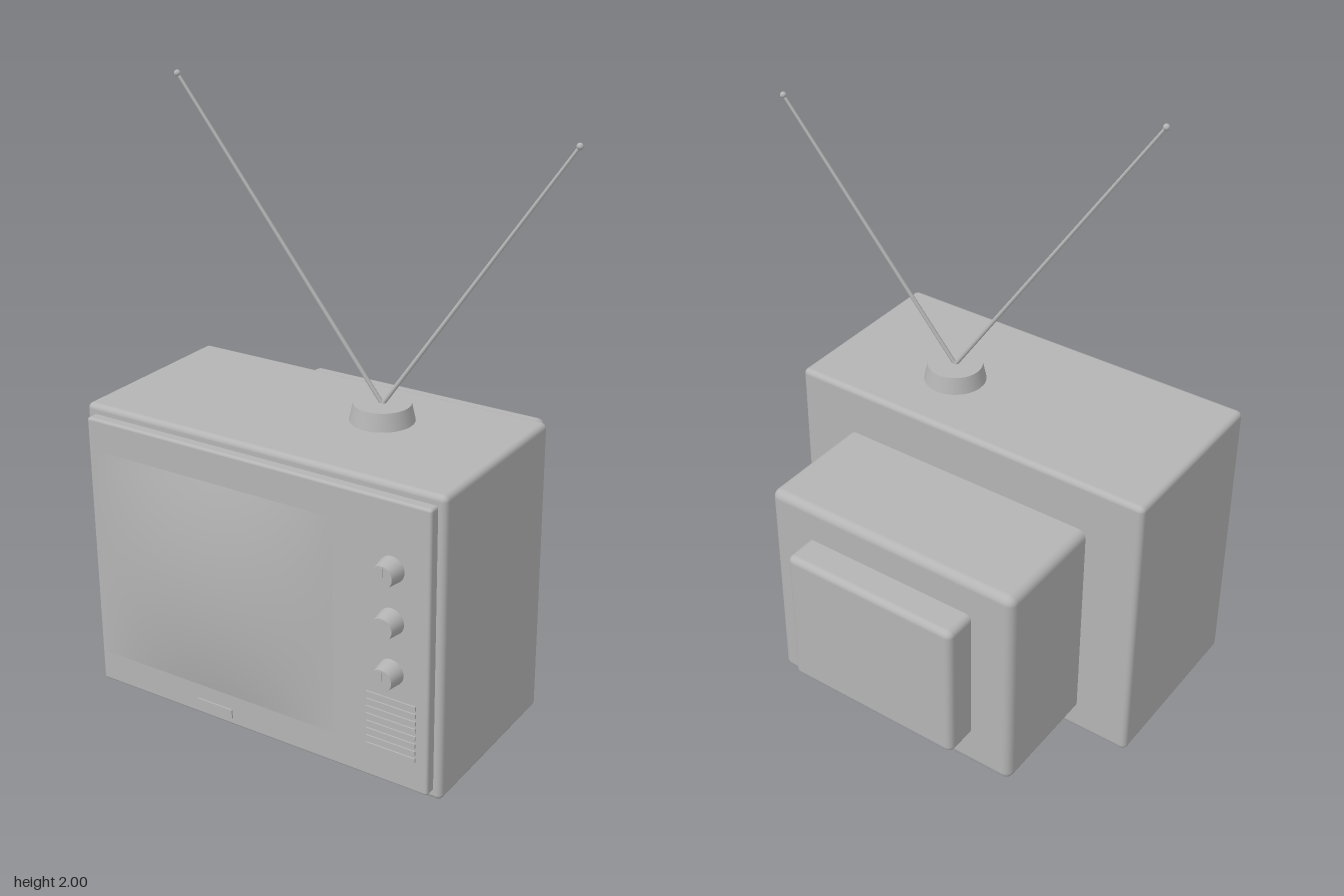
import * as THREE from 'three';
import { RoundedBoxGeometry } from 'three/addons/geometries/RoundedBoxGeometry.js';

export function createModel() {
  const group = new THREE.Group();
  const grey = new THREE.MeshStandardMaterial({ color: 0xb4b4b4 });
  grey.name = 'grey plastic';

  function add(name, geometry, x = 0, y = 0, z = 0) {
    const mesh = new THREE.Mesh(geometry, grey);
    mesh.name = name;
    mesh.position.set(x, y, z);
    group.add(mesh);
    return mesh;
  }

  // Box given by its limits on each axis; r = 0 keeps sharp edges
  function box(name, [x0, x1], [y0, y1], [z0, z1], r = 0) {
    const size = [x1 - x0, y1 - y0, z1 - z0];
    const geometry = r ? new RoundedBoxGeometry(...size, 3, r) : new THREE.BoxGeometry(...size);
    return add(name, geometry, (x0 + x1) / 2, (y0 + y1) / 2, (z0 + z1) / 2);
  }

  // Cabinet, front panel and stepped back housing
  box('cabinet', [-0.695, 0.571], [0.02, 1.0], [-0.105, 0.508], 0.018);
  box('frontPanel', [-0.667, 0.545], [0.05, 0.97], [0.49, 0.542], 0.009);
  box('backHousing', [-0.51, 0.386], [0.103, 0.835], [-0.492, -0.07], 0.028);
  box('backCap', [-0.368, 0.243], [0.228, 0.712], [-0.597, -0.45], 0.022);

  // Screen bulging out of the panel
  const w = 0.87, h = 0.71;
  const screen = new THREE.PlaneGeometry(w, h, 28, 24);
  const p = screen.attributes.position;
  for (let i = 0; i < p.count; i++) {
    const u = p.getX(i) / (w / 2), v = p.getY(i) / (h / 2);
    p.setZ(i, 0.037 * (1 - u * u) * (1 - v * v));
  }
  screen.computeVertexNormals();
  add('screen', screen, -0.212, 0.51, 0.5425);

  // Tapered knobs with a pointer ridge
  for (const y of [0.757, 0.593, 0.428]) {
    add('knob', new THREE.CylinderGeometry(0.034, 0.042, 0.056, 32), 0.42, y, 0.569).rotation.x = Math.PI / 2;
    box('knobPointer', [0.416, 0.424], [y, y + 0.03], [0.59, 0.599]);
  }

  // Speaker grille slats
  for (let i = 0; i < 8; i++) {
    const y = 0.16 + i * 0.0249;
    box('grilleSlat', [0.338, 0.504], [y - 0.007, y + 0.007], [0.535, 0.547]);
  }

  // Small plate under the screen
  box('namePlate', [-0.28, -0.15], [0.075, 0.105], [0.535, 0.547]);

  // Feet
  for (const x of [-0.575, 0.45])
    for (const z of [0.41, 0])
      add('foot', new THREE.CylinderGeometry(0.03, 0.03, 0.03, 24), x, 0.015, z);

  // Antenna base and two rods with ball tips
  const root = new THREE.Vector3(0.142, 1.05, 0.14);
  add('antennaBase', new THREE.CylinderGeometry(0.088, 0.101, 0.06, 40), root.x, 1.025, root.z);
  for (const tip of [new THREE.Vector3(-0.48, 1.99, 0.264), new THREE.Vector3(0.685, 1.873, 0.018)]) {
    const dir = tip.clone().sub(root);
    const mid = root.clone().add(tip).multiplyScalar(0.5);
    const rod = add('antennaRod', new THREE.CylinderGeometry(0.005, 0.007, dir.length(), 10), mid.x, mid.y, mid.z);
    rod.quaternion.setFromUnitVectors(new THREE.Vector3(0, 1, 0), dir.normalize());
    add('antennaTip', new THREE.SphereGeometry(0.01, 14, 10), tip.x, tip.y, tip.z);
  }

  return group;
}
